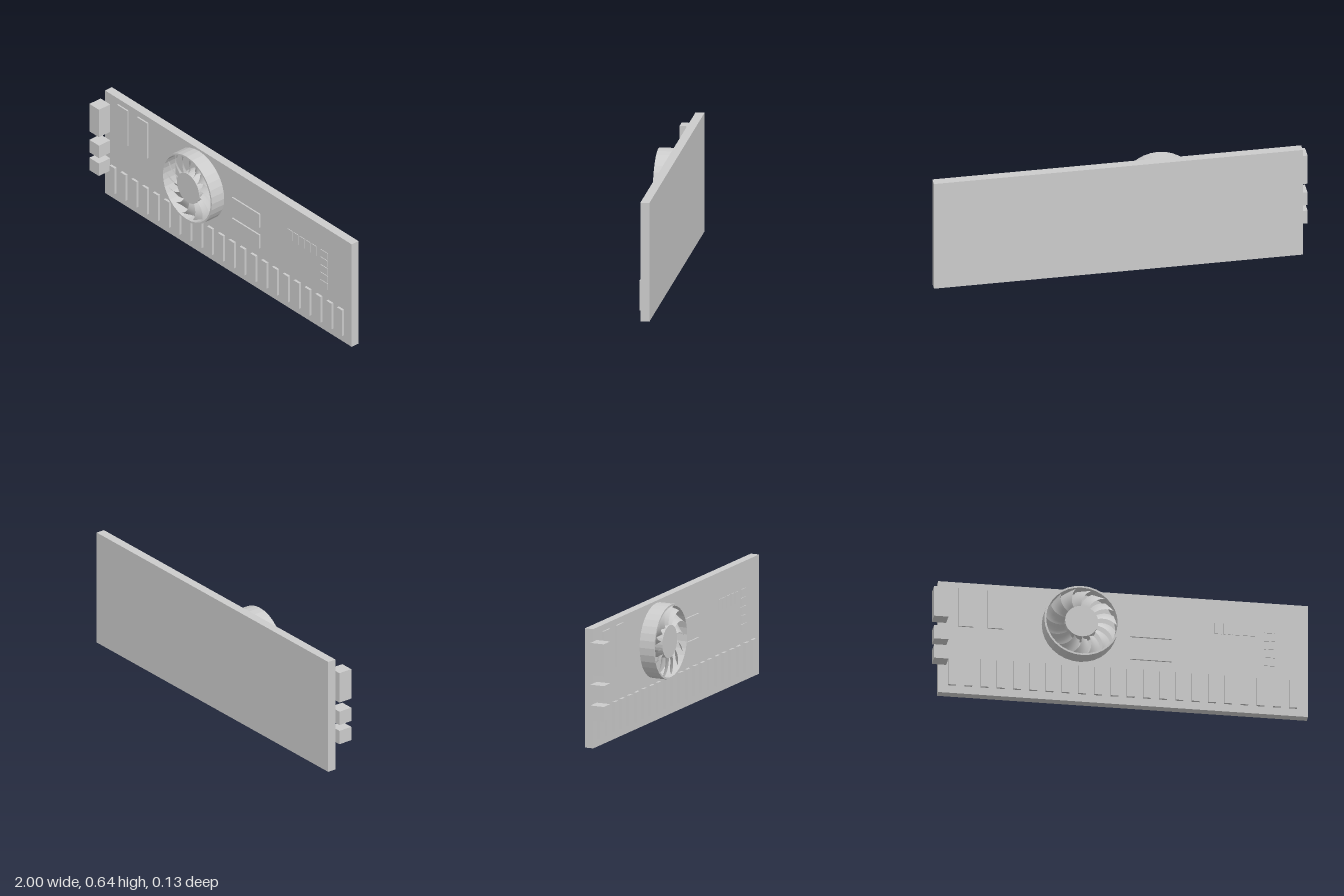
import * as THREE from 'three';

const mat = new THREE.MeshStandardMaterial({ color: 0xcccccc, flatShading: true });
const bladeMat = new THREE.MeshStandardMaterial({ color: 0xcccccc, side: THREE.DoubleSide });
const FACE = -0.018; // front surface of the board

// Box given by its limits on each axis
function slab(parent, name, x0, x1, y0, y1, z0, z1) {
  const mesh = new THREE.Mesh(new THREE.BoxGeometry(x1 - x0, y1 - y0, z1 - z0), mat);
  mesh.position.set((x0 + x1) / 2, (y0 + y1) / 2, (z0 + z1) / 2);
  mesh.name = name;
  parent.add(mesh);
}

// Swept blade: radius runs along u, chord along v, the trailing edge drops towards the board
function bladeGeometry() {
  const geo = new THREE.PlaneGeometry(1, 1, 6, 4);
  const p = geo.attributes.position;
  for (let i = 0; i < p.count; i++) {
    const u = p.getX(i) + 0.5, v = p.getY(i) + 0.5;
    const r = 0.08 + 0.108 * u;
    const a = -0.3 * u * u + (v - 0.5) * 0.4;
    p.setXYZ(i, r * Math.cos(a), r * Math.sin(a), 0.072 - 0.042 * v - 0.006 * Math.sin(Math.PI * v));
  }
  geo.computeVertexNormals();
  return geo;
}

function createFan() {
  const fan = new THREE.Group();
  fan.name = 'fan';
  // Open shroud ring
  const profile = [[0.19, 0], [0.2, 0], [0.2, 0.086], [0.19, 0.086], [0.19, 0]]
    .map(([r, h]) => new THREE.Vector2(r, h));
  const ring = new THREE.Mesh(new THREE.LatheGeometry(profile, 32), mat);
  ring.name = 'fanShroud';
  ring.rotation.x = Math.PI / 2;
  fan.add(ring);
  // Hub
  const hub = new THREE.Mesh(new THREE.CylinderGeometry(0.088, 0.088, 0.078, 32), mat);
  hub.name = 'fanHub';
  hub.rotation.x = Math.PI / 2;
  hub.position.z = 0.039;
  fan.add(hub);
  // Blades
  const geo = bladeGeometry(), count = 14;
  for (let i = 0; i < count; i++) {
    const blade = new THREE.Mesh(geo, bladeMat);
    blade.name = 'fanBlade';
    blade.rotation.z = (i / count) * Math.PI * 2;
    fan.add(blade);
  }
  fan.position.set(-0.216, 0.43, FACE);
  return fan;
}

export function createModel() {
  const model = new THREE.Group();
  model.name = 'expansionCard';

  slab(model, 'board', -0.966, 1, 0, 0.642, -0.066, FACE);
  model.add(createFan());

  // Connectors overhanging the left-hand edge
  for (const [y0, y1] of [[0.403, 0.575], [0.272, 0.35], [0.16, 0.238]])
    slab(model, 'connector', -1, -0.924, y0, y1, FACE, 0.061);

  // Upright chips beside the connectors
  for (const x of [-0.86, -0.703])
    slab(model, 'uprightChip', x, x + 0.082, 0.387, 0.608, FACE, -0.009);

  // Flat chips beside the fan
  for (const y of [0.263, 0.393])
    slab(model, 'flatChip', 0.053, 0.273, y, y + 0.083, FACE, -0.009);

  // Row of contact bars along the bottom
  for (let i = 0; i < 22; i++) {
    const x = -0.914 + i * 0.0863;
    slab(model, 'contactBar', x, x + 0.041, 0.043, 0.204, FACE, -0.004);
  }

  // Small thin plates: a row and a column
  for (let i = 0; i < 5; i++) {
    const x = 0.502 + i * 0.0475, y = 0.465 - i * 0.0475;
    slab(model, 'rowPlate', x, x + 0.037, 0.441, 0.502, -0.009, -0.005);
    slab(model, 'columnPlate', 0.764, 0.823, y, y + 0.037, -0.009, -0.005);
  }
  return model;
}
